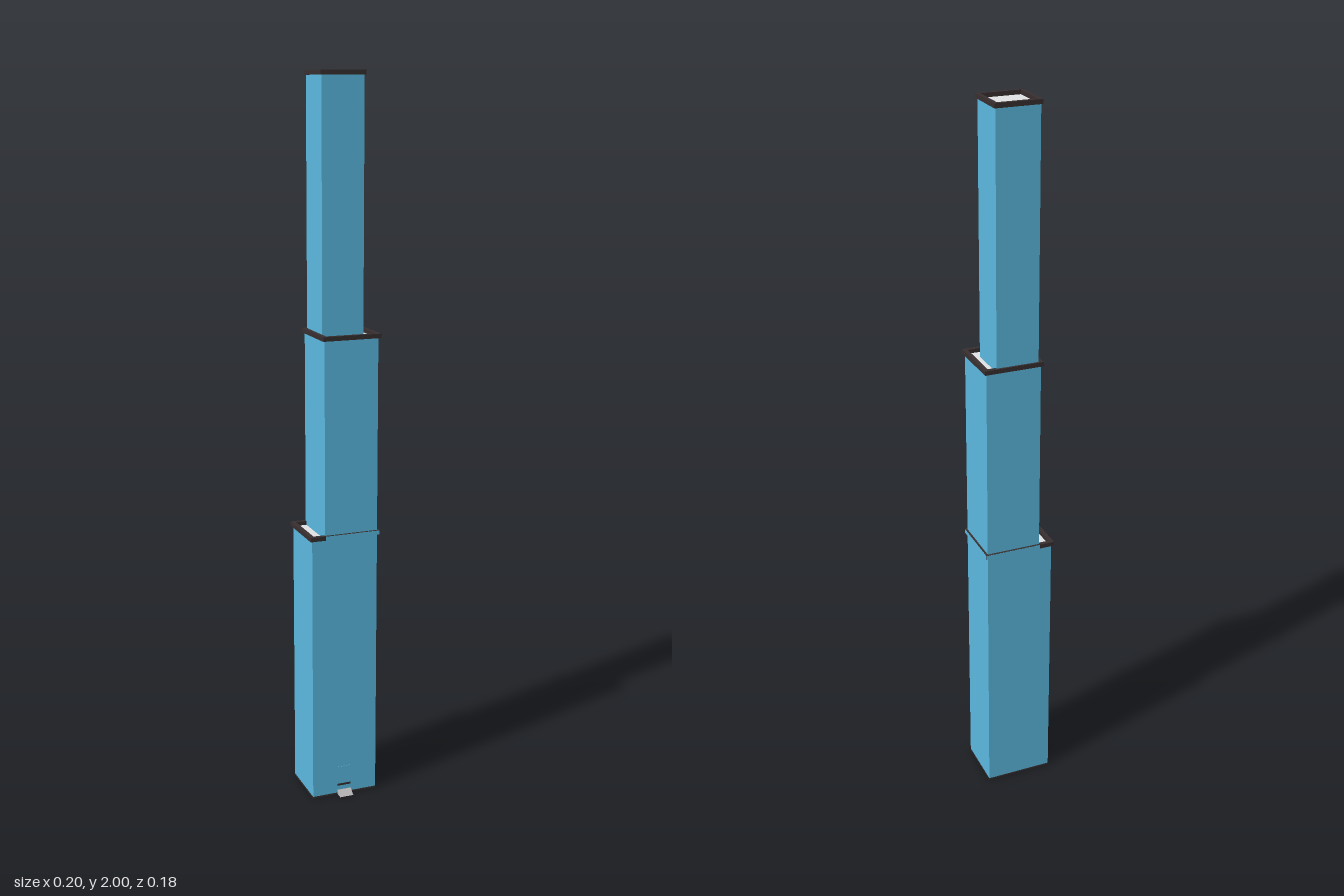
import * as THREE from 'three';

export function createModel() {
  const mat = (name, color) => {
    const m = new THREE.MeshStandardMaterial({ color });
    m.name = name;
    return m;
  };
  const glass = mat('blue glass', 0x5cbbe2);
  const dark = mat('dark trim', 0x382f30);
  const roof = mat('roof grey', 0xe3e4e6);
  const stone = mat('step grey', 0xb6b6b6);

  const tower = new THREE.Group();
  tower.name = 'tower';

  const add = (parent, name, geometry, material) => {
    const m = new THREE.Mesh(geometry, material);
    m.name = name;
    parent.add(m);
    return m;
  };

  // Box given by its limits on each axis
  const box = (parent, name, material, x0, x1, y0, y1, z0, z1) => {
    const g = new THREE.BoxGeometry(x1 - x0, y1 - y0, z1 - z0);
    g.translate((x0 + x1) / 2, (y0 + y1) / 2, (z0 + z1) / 2);
    return add(parent, name, g, material);
  };

  // Rectangular parapet ring around a roof
  const ring = (parent, name, [x0, x1, z0, z1], y0, y1, out, inn) => {
    const path = (p, d) => p.moveTo(x0 - d, -z1 - d).lineTo(x1 + d, -z1 - d)
      .lineTo(x1 + d, -z0 + d).lineTo(x0 - d, -z0 + d).closePath();
    const s = path(new THREE.Shape(), out);
    s.holes.push(path(new THREE.Path(), -inn));
    const g = new THREE.ExtrudeGeometry(s, { depth: y1 - y0, bevelEnabled: false });
    g.rotateX(-Math.PI / 2).translate(0, y0, 0);
    add(parent, name, g, dark);
  };

  // Stacked tiers: footprint [x0, x1, z0, z1], bottom, top, rim overhang and inset
  const tiers = [
    { name: 'lowerTier', f: [-0.096, 0.094, -0.086, 0.067], y0: 0.005, y1: 0.777, out: 0.006, inn: 0.006 },
    { name: 'middleTier', f: [-0.059, 0.094, -0.086, 0.067], y0: 0.762, y1: 1.323, out: 0.006, inn: 0.006 },
    { name: 'upperTier', f: [-0.052, 0.066, -0.086, 0.03], y0: 1.308, y1: 2, out: 0.004, inn: 0.006 },
  ];
  for (const { name, f, y0, y1, out, inn } of tiers) {
    const tier = new THREE.Group();
    tier.name = name;
    tower.add(tier);
    const [x0, x1, z0, z1] = f;
    box(tier, 'walls', glass, x0, x1, y0, y1 - 0.012, z0, z1);
    box(tier, 'roof', roof, x0 + 0.003, x1 - 0.003, y1 - 0.013, y1 - 0.011, z0 + 0.003, z1 - 0.003);
    ring(tier, 'roofRim', f, y1 - 0.012, y1, out, inn);
  }

  // Blue facing over the lower rim where the walls continue upward
  box(tower, 'frontBand', glass, -0.059, 0.099, 0.765, 0.7765, 0.0728, 0.0733);
  box(tower, 'backBand', glass, -0.059, 0.099, 0.765, 0.7765, -0.0923, -0.0918);
  box(tower, 'sideBand', glass, 0.0998, 0.1003, 0.765, 0.7765, -0.091, 0.072);

  // Base plinth
  box(tower, 'plinth', dark, -0.096, 0.094, 0, 0.005, -0.086, 0.067);

  // Entrance: sloping step, threshold and a shallow canopy panel
  const ramp = new THREE.Shape();
  ramp.moveTo(0.066, 0).lineTo(0.088, 0).lineTo(0.066, 0.014);
  const rampGeo = new THREE.ExtrudeGeometry(ramp, { depth: 0.04, bevelEnabled: false });
  rampGeo.rotateY(-Math.PI / 2).translate(0.018, 0, 0);
  add(tower, 'entranceStep', rampGeo, stone);
  box(tower, 'threshold', dark, -0.022, 0.018, 0.026, 0.032, 0.066, 0.0675);
  box(tower, 'canopy', glass, -0.022, 0.018, 0.068, 0.085, 0.066, 0.068);

  return tower;
}
